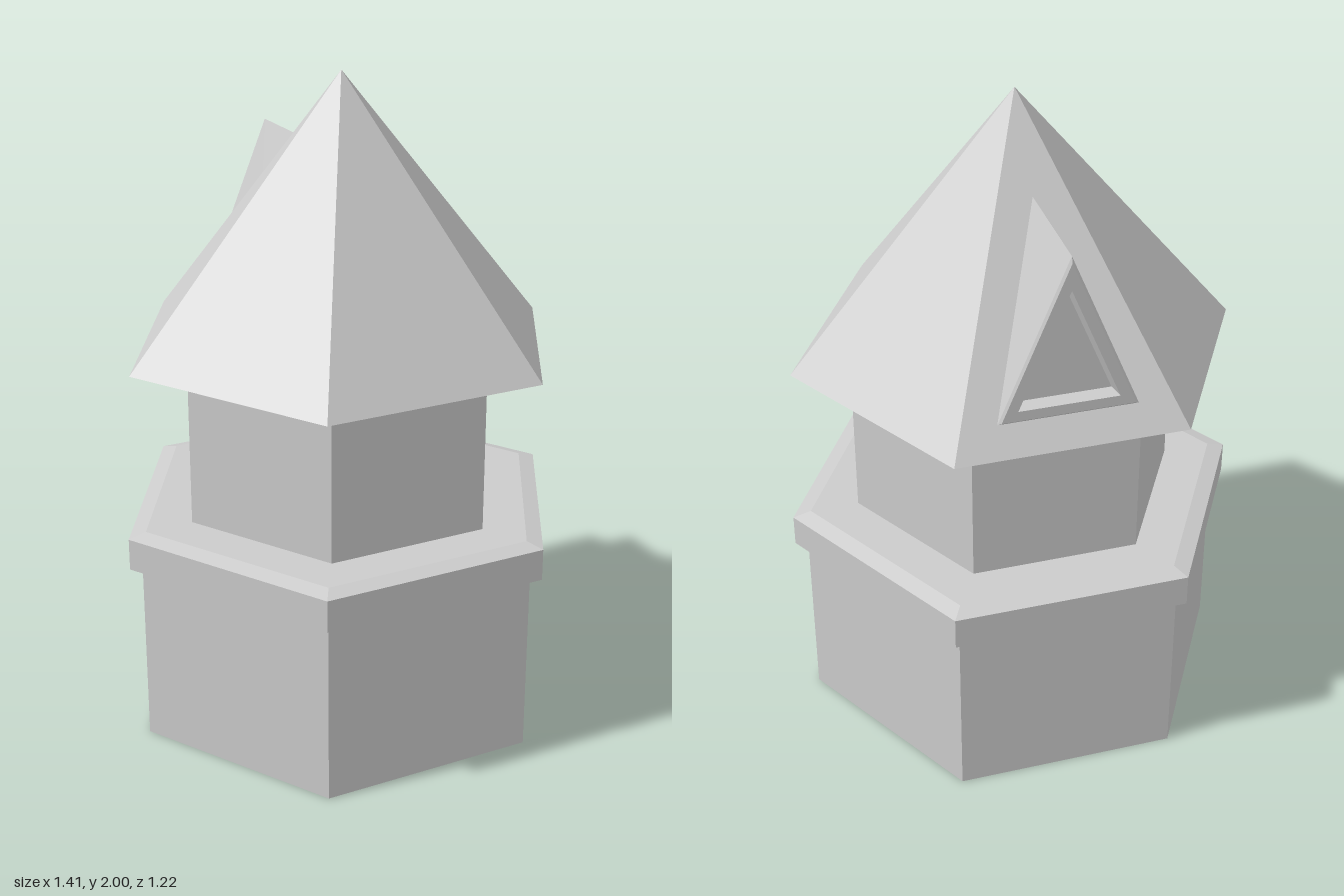
import * as THREE from 'three';

const material = new THREE.MeshStandardMaterial({ color: 0xcccccc, flatShading: true });

export function createModel() {
  const tower = new THREE.Group();
  tower.name = 'tower';

  const add = (name, geometry) => {
    const mesh = new THREE.Mesh(geometry, material);
    mesh.name = name;
    tower.add(mesh);
  };

  // Six-sided part from a [radius, height] profile, with corners on the x axis
  const hexagonal = (name, profile) => add(name, new THREE.LatheGeometry(
    profile.map(([r, y]) => new THREE.Vector2(r, y)), 6, Math.PI / 2));

  hexagonal('base', [[0, 0], [0.665, 0], [0.665, 0.56]]);
  hexagonal('ledge', [[0.6, 0.555], [0.665, 0.555], [0.705, 0.57], [0.705, 0.668], [0.65, 0.682], [0, 0.682]]);
  hexagonal('upperWalls', [[0.502, 0.67], [0.502, 1.15]]);
  hexagonal('roof', [[0, 1.145], [0.502, 1.145], [0.68, 1.18], [0, 2]]);

  add('dormer', dormerGeometry());
  return tower;
}

// Triangular dormer: rings of a triangle, scaled about its incentre,
// run from inside the roof out to the frame and back in to the window pane
function dormerGeometry() {
  const corners = [[0, 0.357], [0.203, -0.133], [-0.203, -0.133]];
  const centreY = 1.393;
  const rings = [[1, -0.16], [1, -0.533], [0.95, -0.54], [0.72, -0.54], [0.65, -0.503]]
    .map(([s, z]) => corners.map(([x, y]) => [x * s, centreY + y * s, z]));

  const positions = [];
  for (let k = 0; k < rings.length - 1; k++) {
    for (let i = 0; i < 3; i++) {
      const j = (i + 1) % 3;
      const [a, b, c, d] = [rings[k][i], rings[k][j], rings[k + 1][j], rings[k + 1][i]];
      positions.push(...a, ...b, ...c, ...a, ...c, ...d);
    }
  }
  // Window pane
  positions.push(...rings.at(-1).flat());

  const geometry = new THREE.BufferGeometry();
  geometry.setAttribute('position', new THREE.Float32BufferAttribute(positions, 3));
  geometry.computeVertexNormals();
  return geometry;
}
